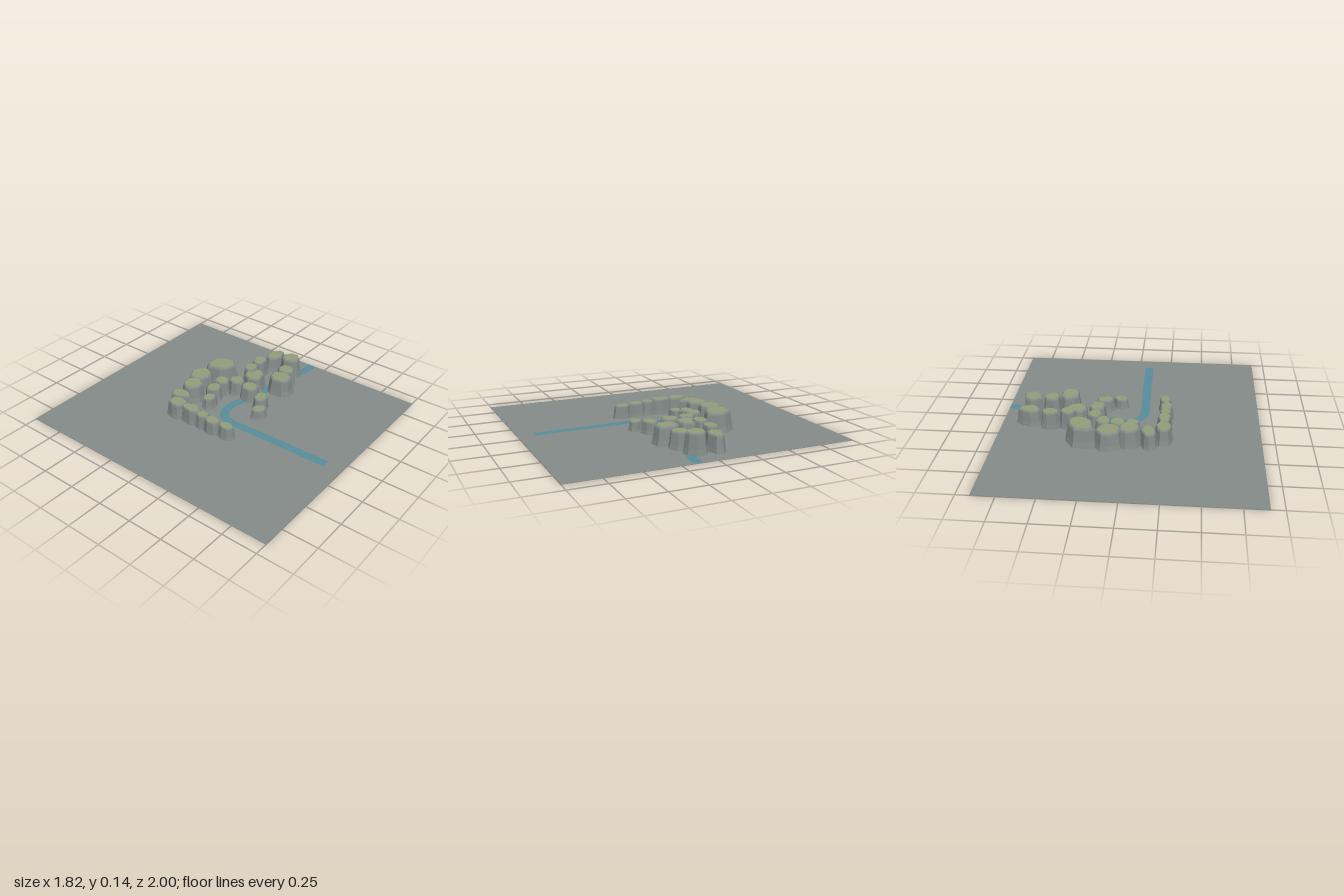
import * as THREE from 'three';

const mat = (name, color) => {
  const m = new THREE.MeshStandardMaterial({ color });
  m.name = name;
  return m;
};

// Small seeded generator for the irregular rock outlines
function seeded(seed) {
  let s = seed * 7919 + 17;
  return () => (s = (s * 16807) % 2147483647) / 2147483647;
}

// Irregular polygon scaled to fill -1..1 on both axes
function outline(seed, sides, shear) {
  const rand = seeded(seed);
  for (let i = 0; i < 5; i++) rand();
  const turn = rand() * 6.28;
  const pts = [];
  for (let i = 0; i < sides; i++) {
    const a = turn + ((i + (rand() - 0.5) * 0.45) / sides) * Math.PI * 2;
    const r = 0.94 + rand() * 0.12;
    const x = Math.cos(a) * r;
    pts.push([x, Math.sin(a) * r + shear * x]);
  }
  for (const k of [0, 1]) {
    const v = pts.map(p => p[k]);
    const lo = Math.min(...v), hi = Math.max(...v);
    pts.forEach(p => { p[k] = ((p[k] - lo) / (hi - lo)) * 2 - 1; });
  }
  return pts;
}

// Rings of a rock: [outline scale, height fraction]
const RINGS = [[1, 0], [0.9, 0.3], [0.8, 0.88], [0.76, 0.95], [0.66, 1]];

// Flared, chamfered rock column; group 0 is stone, group 1 is the grassy cap
function rockGeometry(pts, rx, rz, h) {
  const pos = [];
  const at = (i, ring) => {
    const [s, y] = RINGS[ring], p = pts[i % pts.length];
    return [p[0] * rx * s, y * h, p[1] * rz * s];
  };
  for (let r = 0; r < RINGS.length - 1; r++) {
    for (let i = 0; i < pts.length; i++) {
      const a = at(i, r), b = at(i + 1, r), c = at(i + 1, r + 1), d = at(i, r + 1);
      pos.push(...a, ...d, ...c, ...a, ...c, ...b);
    }
  }
  const stone = pos.length / 3, top = RINGS.length - 1;
  for (let i = 0; i < pts.length; i++) pos.push(0, h, 0, ...at(i + 1, top), ...at(i, top));
  const g = new THREE.BufferGeometry();
  g.setAttribute('position', new THREE.Float32BufferAttribute(pos, 3));
  g.addGroup(0, stone, 0);
  g.addGroup(stone, pos.length / 3 - stone, 1);
  g.computeVertexNormals();
  return g;
}

// Flat ribbon following a curve on the ground
function ribbonGeometry(points, width, y) {
  const curve = new THREE.CatmullRomCurve3(points.map(([x, z]) => new THREE.Vector3(x, y, z)));
  const n = 48, pos = [], idx = [];
  for (let i = 0; i <= n; i++) {
    const p = curve.getPointAt(i / n), t = curve.getTangentAt(i / n);
    for (const s of [-1, 1]) pos.push(p.x - t.z * s * width / 2, y, p.z + t.x * s * width / 2);
    if (i < n) {
      const k = i * 2;
      idx.push(k, k + 1, k + 2, k + 1, k + 3, k + 2);
    }
  }
  const g = new THREE.BufferGeometry();
  g.setAttribute('position', new THREE.Float32BufferAttribute(pos, 3));
  g.setIndex(idx);
  g.computeVertexNormals();
  return g;
}

// Each rock: x, z, half width, half depth, height, shear
const CLIFFS = {
  westRidge: [
    [-0.24, -0.25, 0.068, 0.088, 0.115, 0], [-0.24, -0.125, 0.058, 0.09, 0.115, 0],
    [-0.25, 0.07, 0.054, 0.072, 0.1, 0], [-0.245, -0.02, 0.05, 0.06, 0.105, 0],
    [-0.237, 0.18, 0.05, 0.072, 0.095, 0],
  ],
  northRidge: [
    [-0.14, -0.305, 0.066, 0.1, 0.11, 0.2], [-0.01, -0.31, 0.092, 0.092, 0.13, 0],
    [0.13, -0.345, 0.11, 0.1, 0.13, 0], [0.32, -0.295, 0.117, 0.118, 0.142, 0.25],
  ],
  innerRidge: [
    [-0.018, -0.145, 0.062, 0.052, 0.08, 0], [0.08, -0.18, 0.07, 0.065, 0.1, 0],
    [0.18, -0.185, 0.064, 0.07, 0.11, 0], [0.25, -0.1, 0.068, 0.075, 0.11, 0],
    [0.245, 0.025, 0.07, 0.08, 0.105, 0], [0.2, 0.155, 0.075, 0.062, 0.09, -0.2],
    [0.095, 0.215, 0.065, 0.058, 0.07, 0.2],
  ],
  eastRidge: [
    [0.385, -0.04, 0.095, 0.09, 0.115, -0.1], [0.435, -0.11, 0.072, 0.062, 0.13, 0],
    [0.56, -0.12, 0.076, 0.058, 0.125, 0], [0.715, -0.08, 0.1, 0.07, 0.117, 0.15],
  ],
  southRidge: [
    [0.455, 0.145, 0.082, 0.1, 0.13, 0], [0.585, 0.11, 0.072, 0.08, 0.12, 0],
    [0.71, 0.065, 0.085, 0.083, 0.145, 0],
  ],
};

export function createModel() {
  const model = new THREE.Group();
  model.name = 'canyonTerrain';
  const stone = mat('stone grey', 0x828a87);
  const grass = mat('moss green', 0x909d78);
  const water = mat('river blue', 0x568b99);
  stone.flatShading = grass.flatShading = true;

  // Ground sheet
  const ground = new THREE.Mesh(new THREE.BoxGeometry(1.82, 0.002, 2), stone);
  ground.position.y = 0.001;
  ground.name = 'ground';
  model.add(ground);

  // River winding between the ridges
  const path = [[-0.078, 0.88], [-0.082, 0.5], [-0.088, 0.25], [-0.088, 0.09], [-0.06, 0.025],
    [0, -0.008], [0.08, -0.018], [0.16, 0], [0.26, 0.035], [0.42, 0.06], [0.6, 0.07],
    [0.72, 0.105], [0.81, 0.132], [0.905, 0.14]];
  water.side = THREE.DoubleSide;
  const river = new THREE.Mesh(ribbonGeometry(path, 0.064, 0.004), water);
  river.name = 'river';
  model.add(river);

  // Rock ridges
  let seed = 1;
  for (const [name, rocks] of Object.entries(CLIFFS)) {
    const ridge = new THREE.Group();
    ridge.name = name;
    rocks.forEach(([x, z, rx, rz, h, shear], i) => {
      const pts = outline(seed++, 8, shear);
      const rock = new THREE.Mesh(rockGeometry(pts, rx, rz, h), [stone, grass]);
      rock.position.set(x, 0, z);
      rock.name = `rock${i + 1}`;
      ridge.add(rock);
    });
    model.add(ridge);
  }
  return model;
}
